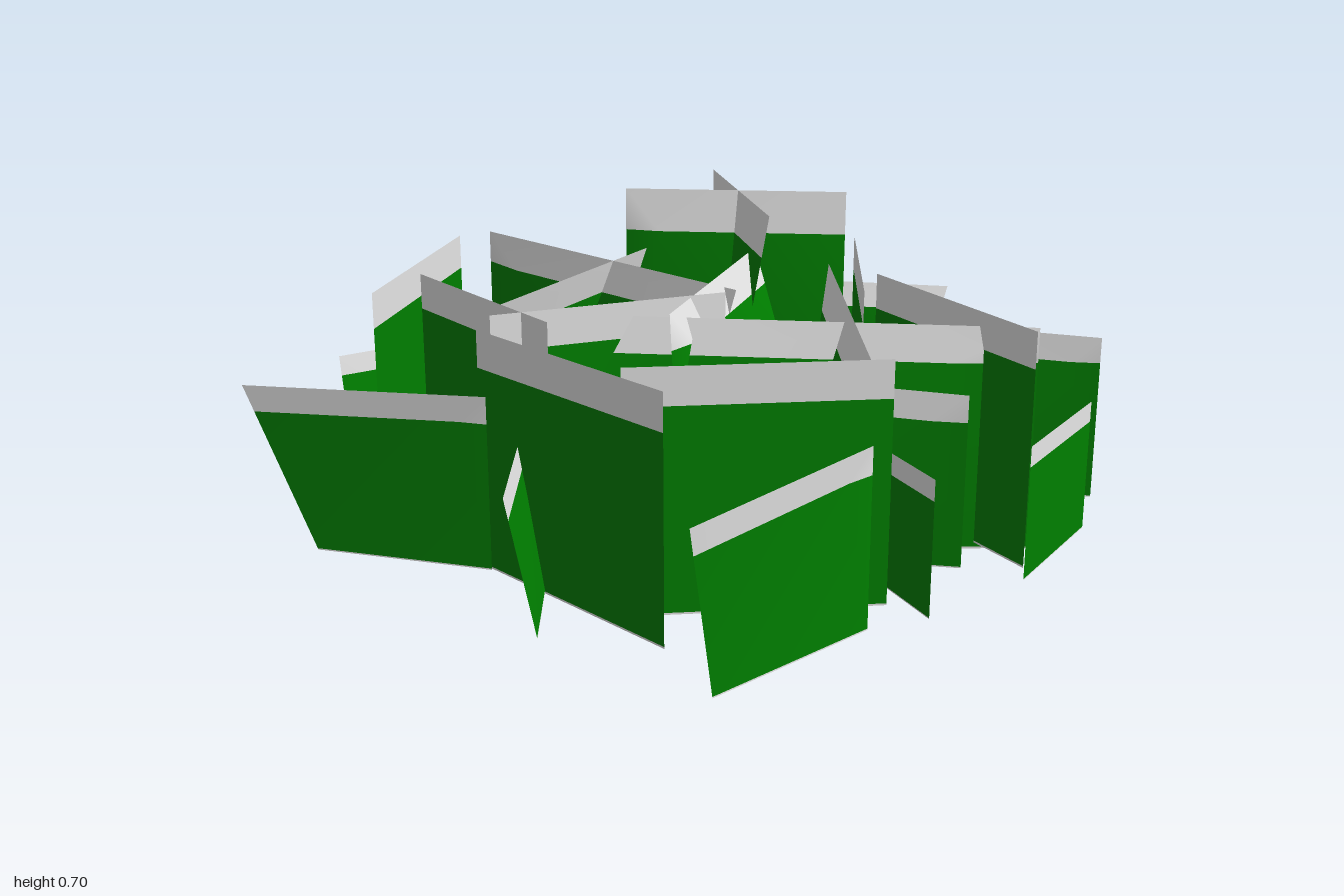
import * as THREE from 'three';

const green = new THREE.MeshStandardMaterial({ color: 0x008000, side: THREE.DoubleSide });
green.name = 'leafGreen';
const pale = new THREE.MeshStandardMaterial({ color: 0xe6e6e6, side: THREE.DoubleSide });
pale.name = 'paleTip';

// One foliage card: top and bottom edges as [x, z, x, z], folded along one diagonal.
// Green leaf with a pale tip and a hairline pale foot.
function card(name, y0, y1, top, bottom = top) {
  const ends = [0, 2].map((i) => ({
    low: new THREE.Vector3(bottom[i], y0, bottom[i + 1]),
    high: new THREE.Vector3(top[i], y1, top[i + 1]),
    lean: Math.hypot(top[i] - bottom[i], top[i + 1] - bottom[i + 1]),
  }));
  // The fold runs from the foot of the leaning end to the top of the straighter end
  const [a, b] = ends.sort((p, q) => p.lean - q.lean);
  const row = (t) => [
    a.low.clone().lerp(a.high, t),
    b.low.clone().lerp(a.high, t),
    b.low.clone().lerp(b.high, t),
  ];
  const group = new THREE.Group();
  group.name = name;
  const band = (t0, t1, material, part) => {
    const g = new THREE.BufferGeometry().setFromPoints([...row(t0), ...row(t1)]);
    g.setIndex([0, 1, 4, 0, 4, 3, 1, 2, 5, 1, 5, 4]);
    g.computeVertexNormals();
    const mesh = new THREE.Mesh(g, material);
    mesh.name = part;
    group.add(mesh);
  };
  band(0, 0.008, pale, 'cardFoot');
  band(0.008, 0.845, green, 'cardLeaf');
  band(0.845, 1, pale, 'cardTip');
  return group;
}

export function createModel() {
  const model = new THREE.Group();
  model.name = 'grassClump';
  const addAll = (name, y0, y1, list) => {
    for (const [top, bottom] of list) model.add(card(name, y0, y1, top, bottom));
  };

  // Two tallest cards, crossing at the back
  addAll('tallCard', 0.005, 0.705, [
    [[0.03, -0.67, 0.56, -0.46], [0.03, -0.67, 0.52, -0.37]],
    [[0.32, -0.83, 0.28, -0.26], [0.32, -0.83, 0.21, -0.40]],
  ]);

  // Upright cards around the middle
  addAll('uprightCard', 0.03, 0.585, [
    [[-0.28, 0.43, 0.275, 0.54]],
    [[0.41, 0.04, 0.59, -0.47]],
    [[-0.39, -0.775, -0.685, -0.28]],
    [[-0.46, -0.02, 0.10, -0.05]],
    [[-0.55, -0.42, -0.35, 0.07]],
    [[-0.51, 0.08, -0.24, 0.60]],
    [[0.645, 0.45, 0.50, -0.10]],
  ]);

  // Long leaning cards through the centre
  addAll('leaningCard', 0.015, 0.55, [
    [[0.29, -0.83, -0.42, -0.20], [0.29, -0.83, -0.55, -0.31]],
    [[-0.28, -0.94, 0.17, -0.18], [-0.28, -0.94, 0.02, -0.18]],
    [[-0.13, -0.04, 0.72, 0.32], [-0.46, -0.03, 0.72, 0.32]],
  ]);
  addAll('leaningCard', 0.015, 0.58, [
    [[0.43, -0.24, 0.23, 0.52], [0.43, -0.24, 0.08, 0.40]],
    [[-0.07, 0.07, 0.31, -0.45], [-0.04, 0.06, 0.42, -0.25]],
  ]);

  // Mid-height cards, fanned out at one end
  addAll('fannedCard', 0.03, 0.44, [
    [[-1.0, -0.13, -0.5, 0.11], [-0.86, -0.12, -0.5, 0.11]],
    [[-0.29, 0.94, 0.19, 0.64], [-0.21, 0.83, 0.19, 0.64]],
    [[0.58, -0.18, 1.0, 0.11], [0.59, -0.08, 1.0, 0.11]],
    [[-0.41, -0.48, -0.02, -0.19], [-0.41, -0.39, -0.02, -0.19]],
    [[-0.28, 0.25, 0.14, 0.08], [-0.18, 0.31, 0.14, 0.08]],
    [[0.11, 0.33, 0.42, -0.04], [0.16, 0.34, 0.42, -0.04]],
    [[0.17, 0.18, 0.51, 0.41], [0.05, 0.18, 0.51, 0.41]],
  ]);
  addAll('fannedCard', 0.015, 0.41, [
    [[0.52, -0.72, 0.89, -0.53], [0.52, -0.72, 0.72, -0.42]],
  ]);

  // Short cards, mostly on the outside
  addAll('shortCard', 0.035, 0.35, [
    [[0.61, 0.52, 0.88, 0.29]],
    [[0.33, 0.64, 0.28, 0.30]],
    [[-0.54, 0.48, -0.41, 0.07], [-0.48, 0.49, -0.36, 0.09]],
    [[-0.74, -0.57, -0.32, -0.69], [-0.72, -0.53, -0.31, -0.64]],
    [[-0.07, 0.20, 0.20, 0.33], [-0.05, 0.24, 0.13, 0.33]],
    [[0.33, -0.31, 0.67, -0.39], [0.35, -0.27, 0.68, -0.35]],
    [[0.35, -0.34, 0.58, -0.18], [0.35, -0.34, 0.55, -0.14]],
  ]);

  return model;
}
